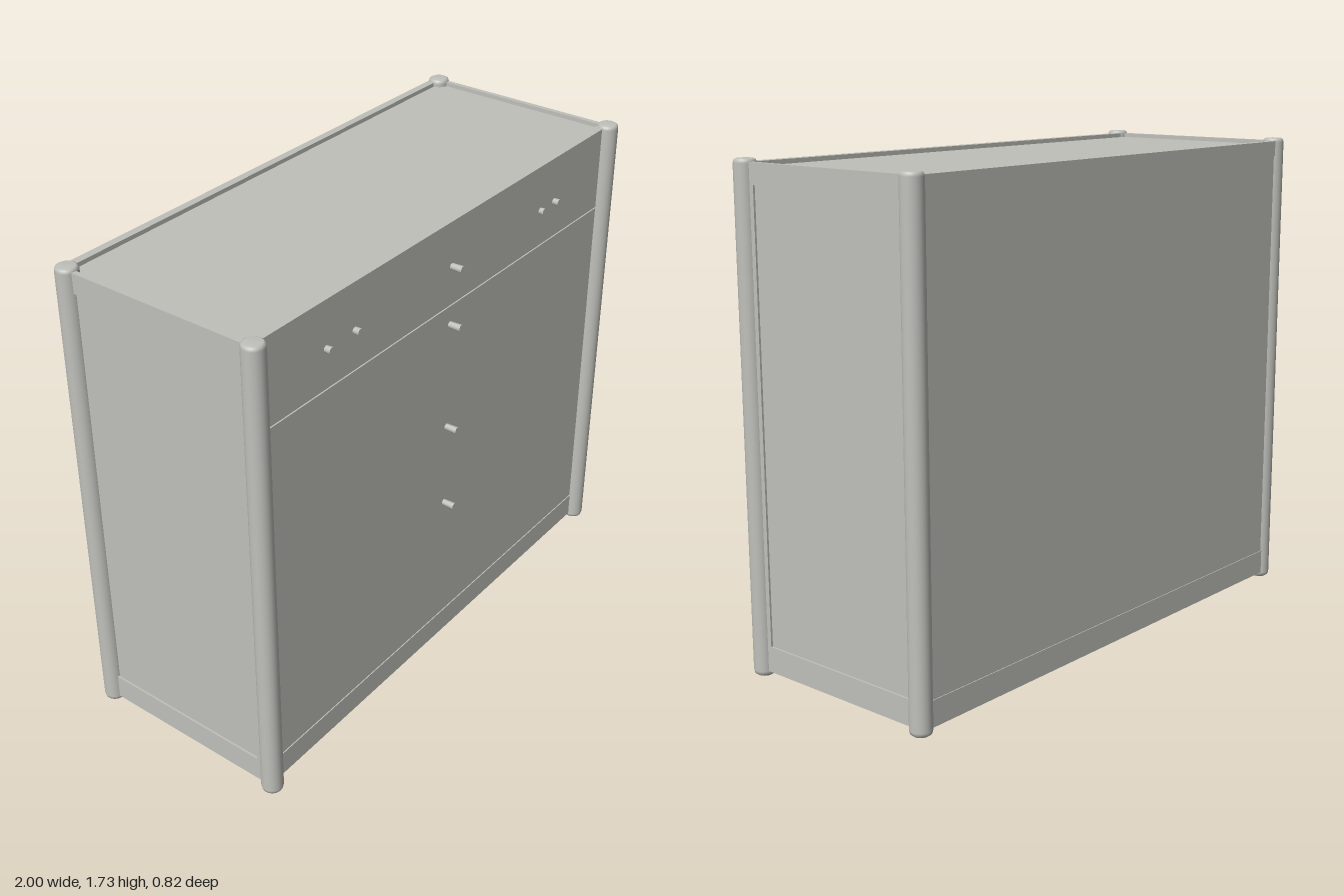
import * as THREE from 'three';

export function createModel() {
  const model = new THREE.Group();
  model.name = 'cabinet';
  const grey = new THREE.MeshStandardMaterial({ color: 0xc0c0bb });
  grey.name = 'warm grey';

  const add = (name, geometry, x = 0, y = 0, z = 0) => {
    const mesh = new THREE.Mesh(geometry, grey);
    mesh.name = name;
    mesh.position.set(x, y, z);
    model.add(mesh);
    return mesh;
  };
  // Box given by its limits on each axis
  const box = (name, [x0, x1], [y0, y1], [z0, z1]) =>
    add(name, new THREE.BoxGeometry(x1 - x0, y1 - y0, z1 - z0),
      (x0 + x1) / 2, (y0 + y1) / 2, (z0 + z1) / 2);

  const BOTTOM = 0.02, TOP = 1.715, FRONT = 0.362, BACK = -0.398;
  const SIDE = 0.976, INNER = 0.958;

  // Closed carcass, sunk a little below the rims at top and bottom
  box('carcass', [-0.962, 0.962], [0.04, 1.7], [-0.39, 0.352]);

  // Round corner posts with softened ends
  const r = 0.038, h = 1.725;
  const profile = [[0, 0], [r * 0.7, 0], [r * 0.92, 0.006], [r, 0.018],
    [r, h - 0.014], [r * 0.92, h - 0.004], [r * 0.75, h], [0, h]]
    .map(([x, y]) => new THREE.Vector2(x, y));
  const post = new THREE.LatheGeometry(profile, 28);
  for (const x of [-0.962, 0.962]) {
    add('frontPost', post, x, 0, 0.362);
    add('backPost', post, x, 0, -0.372);
  }

  // Front: door area and drawer with a thin gap between, above the apron
  const wide = [-0.94, 0.94];
  box('frontApron', wide, [BOTTOM, 0.11], [0.33, FRONT + 0.002]);
  box('doorFront', wide, [0.113, 1.408], [0.33, FRONT]);
  box('drawerFront', wide, [1.413, TOP], [0.33, FRONT]);

  // Back: panel framed by a low rail and a top rail
  box('backPanel', wide, [0.11, 1.66], [BACK + 0.003, -0.37]);
  box('backBottomRail', wide, [BOTTOM, 0.11], [BACK, -0.37]);
  box('backTopRail', wide, [1.66, TOP], [BACK, -0.37]);

  // Sides: rails above and below a recessed panel
  for (const s of [-1, 1]) {
    const xs = s > 0 ? [INNER, SIDE] : [-SIDE, -INNER];
    box('sideBottomRail', xs, [BOTTOM, 0.11], [-0.36, 0.35]);
    box('sideTopRail', xs, [1.645, TOP], [-0.36, 0.35]);
    const px = s > 0 ? [INNER, 0.969] : [-0.969, -INNER];
    box('sidePanel', px, [0.11, 1.645], [-0.333, 0.31]);
    // Stile filling the corner beside the front post
    box('sideStile', xs, [0.11, 1.645], [0.31, 0.35]);
  }

  // Small knobs: outer drawer pairs are shorter than the centre column
  const knobs = [[-0.645, 1.552, 0.385], [-0.508, 1.552, 0.385],
    [0.532, 1.547, 0.38], [0.62, 1.55, 0.385], [0, 1.555, 0.406],
    [0, 1.34, 0.408], [0, 0.938, 0.408], [0, 0.618, 0.408]];
  for (const [x, y, tip] of knobs) {
    const length = tip - 0.355;
    const geometry = new THREE.CylinderGeometry(0.013, 0.011, length, 10);
    geometry.rotateX(Math.PI / 2);
    add('knob', geometry, x, y, 0.355 + length / 2);
  }
  return model;
}
